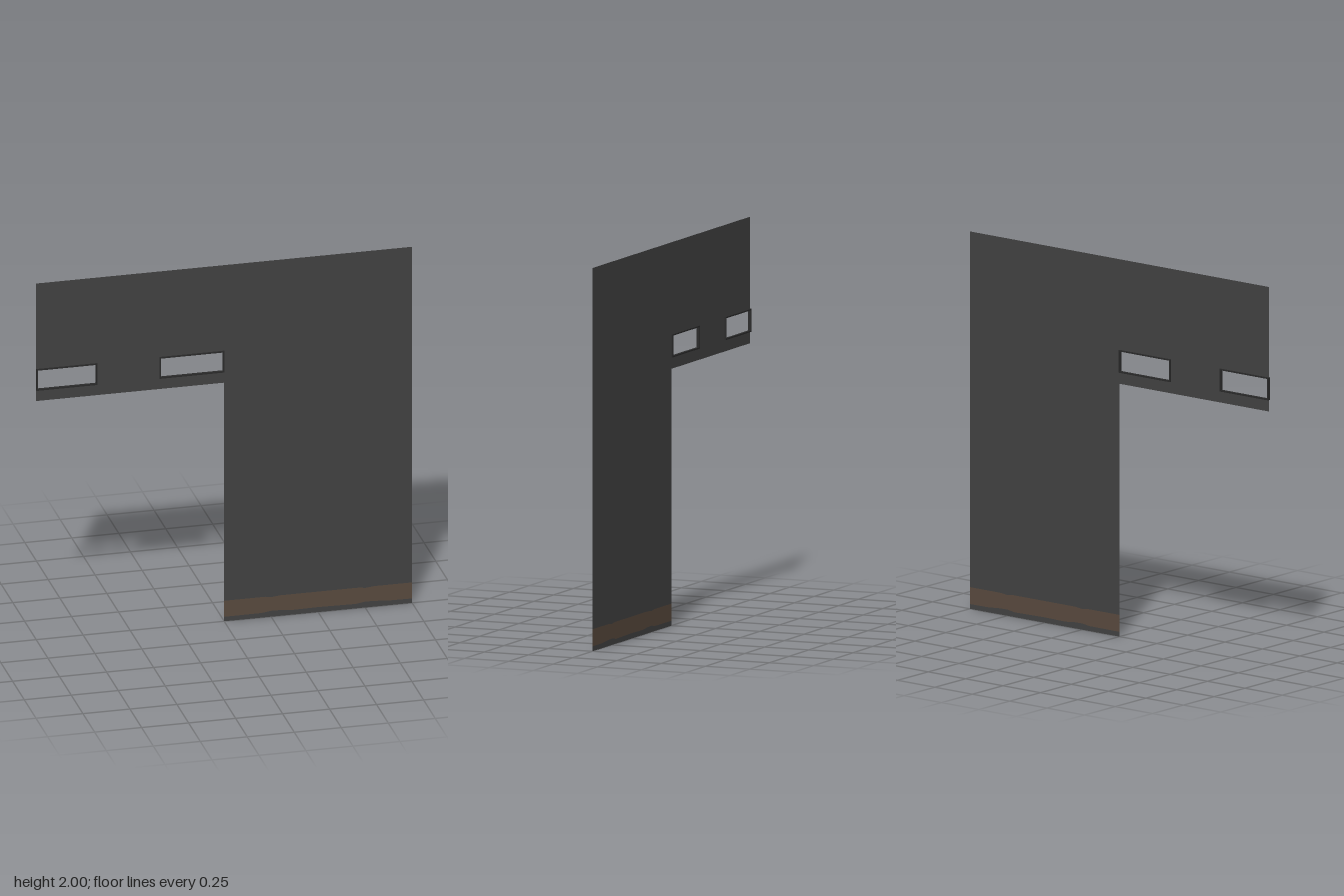
import * as THREE from 'three';

const flat = (name, color, side = THREE.FrontSide) => {
  const m = new THREE.MeshStandardMaterial({ color, side });
  m.name = name;
  return m;
};
const toPoints = (list) => list.map(([x, y]) => new THREE.Vector2(x, y));
const rect = (x0, x1, y0, y1) => [[x0, y0], [x1, y0], [x1, y1], [x0, y1]];

export function createModel() {
  const group = new THREE.Group();
  const wallGrey = flat('wallGrey', 0x424242, THREE.DoubleSide);
  const skirtBrown = flat('skirtBrown', 0x594a3e, THREE.DoubleSide);
  const frameDark = flat('frameDark', 0x2a2a2a);

  const add = (name, geometry, material) => {
    const mesh = new THREE.Mesh(geometry, material);
    mesh.name = name;
    group.add(mesh);
  };
  const sheet = (outline, holes = []) => {
    const shape = new THREE.Shape(toPoints(outline));
    shape.holes = holes.map((h) => new THREE.Path(toPoints(h)));
    return new THREE.ShapeGeometry(shape);
  };

  // Slightly uneven edges of the brown band, left to right
  const bandTop = [[0, 0.115], [0.22, 0.115], [0.25, 0.11], [0.3, 0.115],
    [0.72, 0.115], [0.75, 0.11], [0.8, 0.115], [1, 0.115]];
  const bandBottom = [[0, 0.025], [0.2, 0.026], [0.25, 0.033], [0.3, 0.032], [0.36, 0.026],
    [0.5, 0.028], [0.7, 0.025], [0.75, 0.033], [0.8, 0.032], [0.88, 0.026], [1, 0.025]];

  // Wall sheet: the left opening reaches the edge, the other is a hole
  const [low, high] = [1.4, 1.52];
  add('wall', sheet([
    ...bandTop, [1, 2], [-1, 2], [-1, high], [-0.675, high], [-0.675, low],
    [-1, low], [-1, 1.34], [0, 1.34],
  ], [rect(-0.345, -0.002, low, high)]), wallGrey);
  add('skirtBand', sheet([...bandBottom, ...[...bandTop].reverse()]), skirtBrown);
  add('baseStrip', sheet([[0, 0], [1, 0], ...[...bandBottom].reverse()]), wallGrey);

  // Shallow frames lining both openings
  const depth = 0.016;
  const t = 0.007;
  for (const [name, x0, x1] of [['outerWindowFrame', -1, -0.675], ['innerWindowFrame', -0.345, 0]]) {
    const shape = new THREE.Shape(toPoints(rect(x0, x1, low, high)));
    shape.holes.push(new THREE.Path(toPoints(rect(x0 + t, x1 - t, low + t, high - t))));
    const geometry = new THREE.ExtrudeGeometry(shape, { depth, bevelEnabled: false });
    add(name, geometry.translate(0, 0, -depth / 2), frameDark);
  }
  return group;
}
